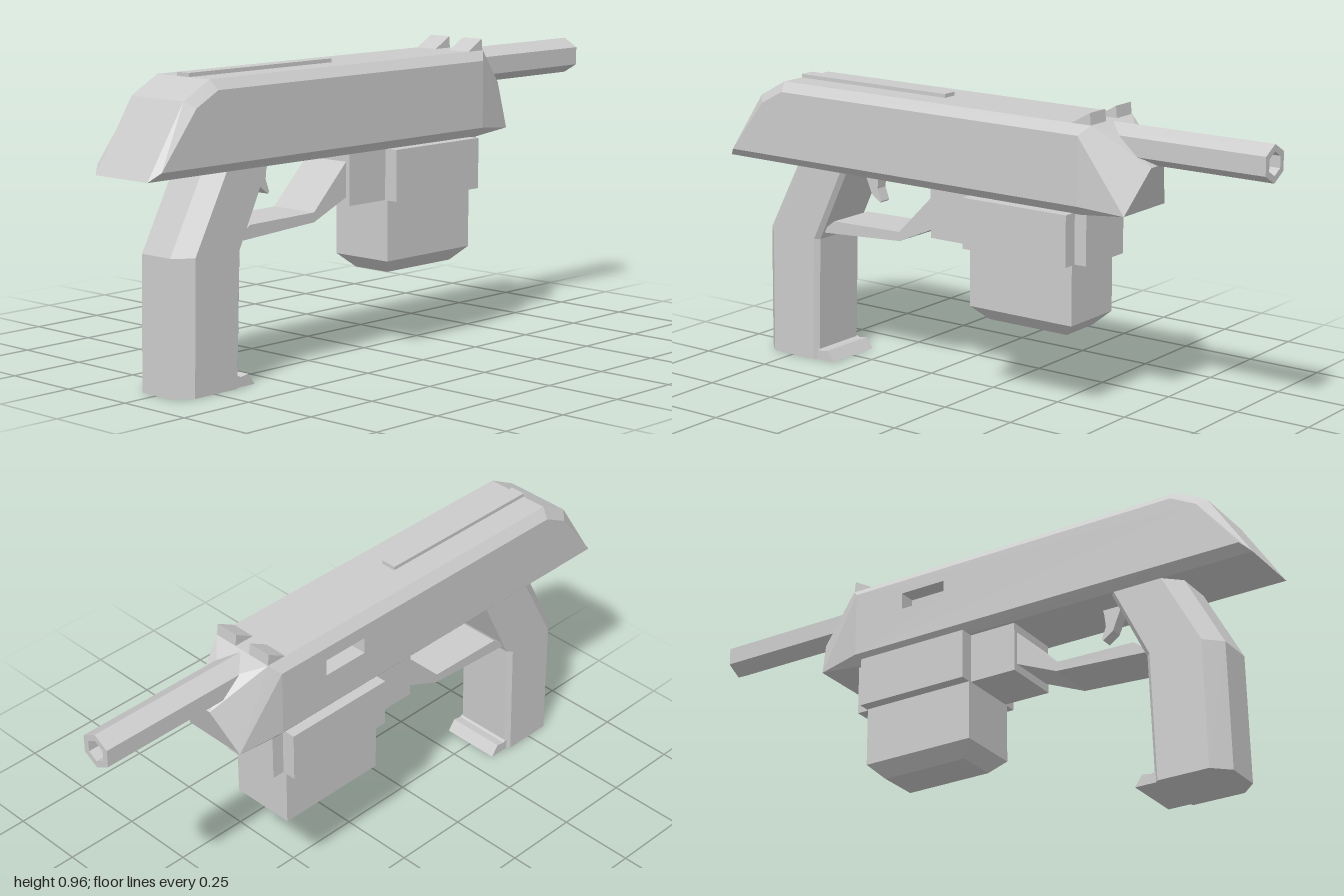
import * as THREE from 'three';
import { ConvexGeometry } from 'three/addons/geometries/ConvexGeometry.js';

const grey = new THREE.MeshStandardMaterial({ color: 0xcccccc, flatShading: true });
const greyInside = new THREE.MeshStandardMaterial({ color: 0xcccccc, flatShading: true, side: THREE.BackSide });

export function createModel() {
  const model = new THREE.Group();

  const add = (name, geometry, material = grey) => {
    const mesh = new THREE.Mesh(geometry, material);
    mesh.name = name;
    model.add(mesh);
    return mesh;
  };

  const box = (name, x0, x1, y0, y1, z0, z1, material) =>
    add(name, new THREE.BoxGeometry(x1 - x0, y1 - y0, z1 - z0), material)
      .position.set((x0 + x1) / 2, (y0 + y1) / 2, (z0 + z1) / 2);

  const shapeOf = (points) => new THREE.Shape(points.map(([a, b]) => new THREE.Vector2(a, b)));

  // Side profile of [z, y] points, given a thickness across x
  const plate = (name, points, halfWidth, x = 0) => {
    const g = new THREE.ExtrudeGeometry(shapeOf(points), { depth: 2 * halfWidth, bevelEnabled: false });
    g.translate(0, 0, -halfWidth).rotateY(-Math.PI / 2).translate(x, 0, 0);
    return add(name, g);
  };

  // Skin over convex rings, each counter-clockwise seen from the last ring
  const loft = (rings, capEnd = true) => {
    const pos = [];
    const n = rings[0].length;
    const tri = (a, b, c) => pos.push(...a, ...b, ...c);
    for (let k = 0; k < rings.length - 1; k++) {
      for (let i = 0; i < n; i++) {
        const j = (i + 1) % n, r = rings[k], s = rings[k + 1];
        tri(r[i], r[j], s[j]);
        tri(r[i], s[j], s[i]);
      }
    }
    const first = rings[0], last = rings[rings.length - 1];
    for (let i = 1; i < n - 1; i++) {
      tri(first[0], first[i + 1], first[i]);
      if (capEnd) tri(last[0], last[i], last[i + 1]);
    }
    const g = new THREE.BufferGeometry();
    g.setAttribute('position', new THREE.Float32BufferAttribute(pos, 3));
    g.computeVertexNormals();
    return g;
  };

  // Horizontal ring from its +x half, listed from +z to -z
  const ringY = (y, half) => [
    ...half.map(([x, z]) => [x, y, z]),
    ...half.slice().reverse().map(([x, z]) => [-x, y, z]),
  ];

  // Receiver: bevelled long body with a pocket in its -x face
  const outer = [[-0.41, 0.645], [1, 0.648], [0.86, 0.865], [0.76, 0.92], [-0.41, 0.92]];
  const inner = [[-0.41, 0.675], [0.97, 0.675], [0.835, 0.845], [0.75, 0.89], [-0.41, 0.89]];
  const ringX = (x, points) => points.map(([z, y]) => [x, y, z]);
  add('receiver', loft([
    ringX(0.137, inner), ringX(0.11, outer), ringX(-0.11, outer), ringX(-0.137, inner),
  ], false));
  const side = shapeOf(inner);
  const [z0, z1, y0, y1] = [-0.23, -0.07, 0.79, 0.845];
  side.holes.push(new THREE.Path([[z0, y0], [z0, y1], [z1, y1], [z1, y0]].map((p) => new THREE.Vector2(...p))));
  add('receiverSide', new THREE.ShapeGeometry(side).rotateY(-Math.PI / 2).translate(-0.137, 0, 0));
  box('ejectionPocket', -0.137, -0.08, y0, y1, z0, z1, greyInside);

  // Nose: faceted block narrowing toward the barrel
  const nose = [];
  for (const s of [1, -1]) {
    for (const [x, y, z] of [
      [0.11, 0.645, -0.41], [0.137, 0.675, -0.41], [0.137, 0.89, -0.41], [0.11, 0.92, -0.41],
      [0.11, 0.92, -0.44], [0.11, 0.66, -0.56], [0.05, 0.77, -0.57], [0.035, 0.8, -0.605],
      [0.03, 0.88, -0.515],
    ]) nose.push(new THREE.Vector3(s * x, y, z));
  }
  add('nose', new ConvexGeometry(nose));

  // Barrel: hollow hexagonal tube
  const hexagon = (r) => Array.from({ length: 6 }, (_, i) => {
    const a = (i + 0.5) * Math.PI / 3;
    return [r * Math.cos(a), r * Math.sin(a)];
  });
  const tube = shapeOf(hexagon(0.058));
  tube.holes.push(shapeOf(hexagon(0.036)));
  add('barrel', new THREE.ExtrudeGeometry(tube, { depth: 0.55, bevelEnabled: false }))
    .position.set(0, 0.859, -1);

  // Top rib and the pair of sight wedges
  box('topRib', -0.025, 0.025, 0.91, 0.932, 0.17, 0.76);
  for (const s of [1, -1]) {
    plate('sight', [[-0.44, 0.91], [-0.37, 0.91], [-0.37, 0.92], [-0.435, 0.957]], 0.04, s * 0.069);
  }

  // Grip: narrow back face, chamfered front edges, bend near the top
  const gripRing = (y, back, front) =>
    ringY(y, [[0.06, back], [0.11, back - 0.052], [0.11, front + 0.015], [0.095, front]]);
  add('grip', loft([
    gripRing(0, 0.88, 0.645), gripRing(0.41, 0.873, 0.632), gripRing(0.65, 0.745, 0.515),
  ]));
  plate('gripFoot', [[0.66, 0], [0.66, 0.04], [0.635, 0.03], [0.605, 0.035], [0.58, 0]], 0.1);

  // Trigger and its guard
  plate('trigger', [
    [0.51, 0.65], [0.5, 0.63], [0.475, 0.57], [0.44, 0.545], [0.435, 0.55],
    [0.45, 0.59], [0.445, 0.635], [0.44, 0.65],
  ], 0.02);
  plate('triggerGuard', [
    [0.64, 0.43], [0.31, 0.45], [0.16, 0.515], [0.16, 0.63], [0.31, 0.48], [0.58, 0.475],
  ], 0.085);

  // Magazine housing with wide cheek panels
  box('magazineHousing', -0.1, 0.1, 0.485, 0.655, -0.42, 0.17);
  box('cheekPanels', -0.147, 0.147, 0.484, 0.646, -0.378, 0.01);

  // Magazine with a chamfered foot
  const magRing = (y, x, back, front) => ringY(y, [[x, back], [x, front]]);
  add('magazine', loft([
    magRing(0.248, 0.068, -0.035, -0.33), magRing(0.292, 0.109, 0.01, -0.375), magRing(0.5, 0.109, 0.01, -0.375),
  ]));

  return model;
}
